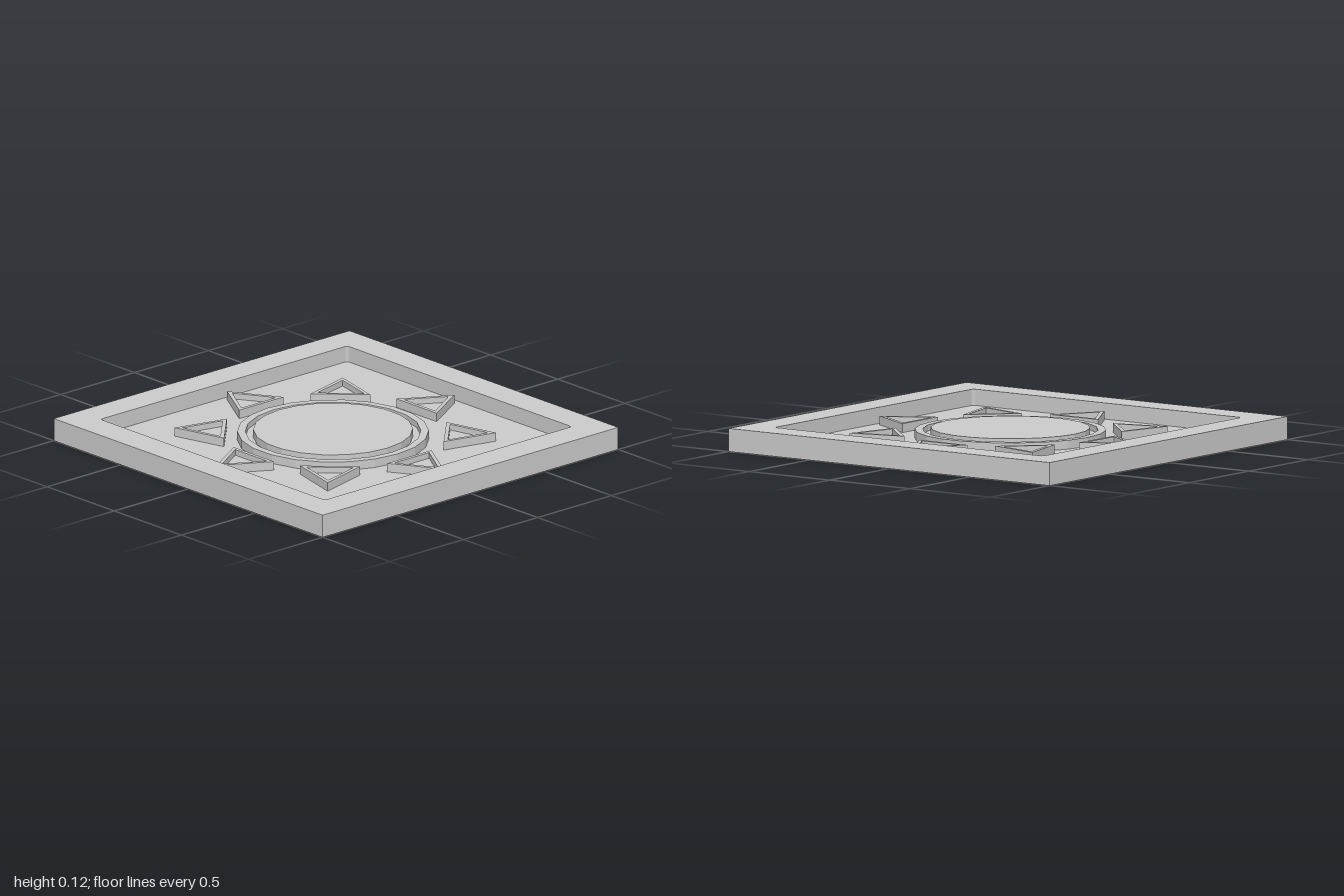
import * as THREE from 'three';

const FLOOR = 0.035, RECESS = 0.05, RELIEF = 0.08, DISC = 0.09, TOP = 0.117;
const material = new THREE.MeshStandardMaterial({ color: 0xcccccc, flatShading: true, side: THREE.DoubleSide });

// Outlines are counter-clockwise Vector2 lists; (x, y) becomes (x, -z).
const square = (h, c = 0) => {
  const pts = [];
  for (const [x, y] of [[1, -1], [1, 1], [-1, 1], [-1, -1]]) {
    if (!c) { pts.push(new THREE.Vector2(x * h, y * h)); continue; }
    const start = Math.atan2(y, x) - Math.PI / 4;
    for (let i = 0; i <= 3; i++) {
      const a = start + (i / 3) * Math.PI / 2;
      pts.push(new THREE.Vector2(x * (h - c) + c * Math.cos(a), y * (h - c) + c * Math.sin(a)));
    }
  }
  return pts;
};

const circle = (r, n = 22) => Array.from({ length: n }, (_, i) => {
  const a = Math.PI / 2 + (i / n) * Math.PI * 2;
  return new THREE.Vector2(-0.02 + r * Math.cos(a), r * Math.sin(a));
});

const triangle = (base, tip, half, angle) => [[base, -half], [tip, 0], [base, half]].map(([x, y]) =>
  new THREE.Vector2(x, y).rotateAround(new THREE.Vector2(), angle).add(new THREE.Vector2(-0.005, 0)));

// Horizontal surface with optional holes
function cap(outline, y, holes = []) {
  const shape = new THREE.Shape(outline);
  shape.holes = holes.map((h) => new THREE.Path(h));
  return new THREE.ShapeGeometry(shape).rotateX(-Math.PI / 2).translate(0, y, 0);
}

// Upright band following an outline; swapping y0 and y1 turns it inwards
function wall(outline, y0, y1) {
  const pos = [];
  outline.forEach((p, i) => {
    const q = outline[(i + 1) % outline.length];
    pos.push(p.x, y0, -p.y, q.x, y0, -q.y, q.x, y1, -q.y);
    pos.push(p.x, y0, -p.y, q.x, y1, -q.y, p.x, y1, -p.y);
  });
  const g = new THREE.BufferGeometry();
  g.setAttribute('position', new THREE.Float32BufferAttribute(pos, 3));
  g.computeVertexNormals();
  return g;
}

function part(name, pieces) {
  const group = new THREE.Group();
  group.name = name;
  for (const [pieceName, geometry] of Object.entries(pieces)) {
    const mesh = new THREE.Mesh(geometry, material);
    mesh.name = pieceName;
    group.add(mesh);
  }
  return group;
}

export function createModel() {
  const model = new THREE.Group();
  model.name = 'sunTile';

  // Raised border, hollow underneath
  const outer = square(1), opening = square(0.835, 0.015);
  model.add(part('border', {
    outerWall: wall(outer, 0, TOP),
    borderTop: cap(outer, TOP, [opening]),
    innerWall: wall(opening, TOP, FLOOR),
  }));

  // Sun: ring, groove and central disc
  const ringOuter = circle(0.48), ringInner = circle(0.44), disc = circle(0.4);
  model.add(part('sun', {
    ringOuterWall: wall(ringOuter, FLOOR, RELIEF),
    ringTop: cap(ringOuter, RELIEF, [ringInner]),
    ringInnerWall: wall(ringInner, RELIEF, RECESS),
    sunBase: cap(ringInner, RECESS),
    discWall: wall(disc, RECESS, DISC),
    discTop: cap(disc, DISC),
  }));

  // Eight hollowed triangular rays
  const footprints = [ringOuter];
  for (let i = 0; i < 8; i++) {
    const angle = (i * Math.PI) / 4;
    const rim = triangle(0.55, 0.805, 0.15, angle);
    const hollow = triangle(0.57, 0.765, 0.117, angle);
    footprints.push(rim);
    model.add(part('ray' + (i + 1), {
      rayOuterWall: wall(rim, FLOOR, RELIEF),
      rayRim: cap(rim, RELIEF, [hollow]),
      rayInnerWall: wall(hollow, RELIEF, RECESS),
      rayRecess: cap(hollow, RECESS),
    }));
  }

  // Sunken floor, open below the relief
  model.add(part('floor', { floorPanel: cap(opening, FLOOR, footprints) }));
  return model;
}
